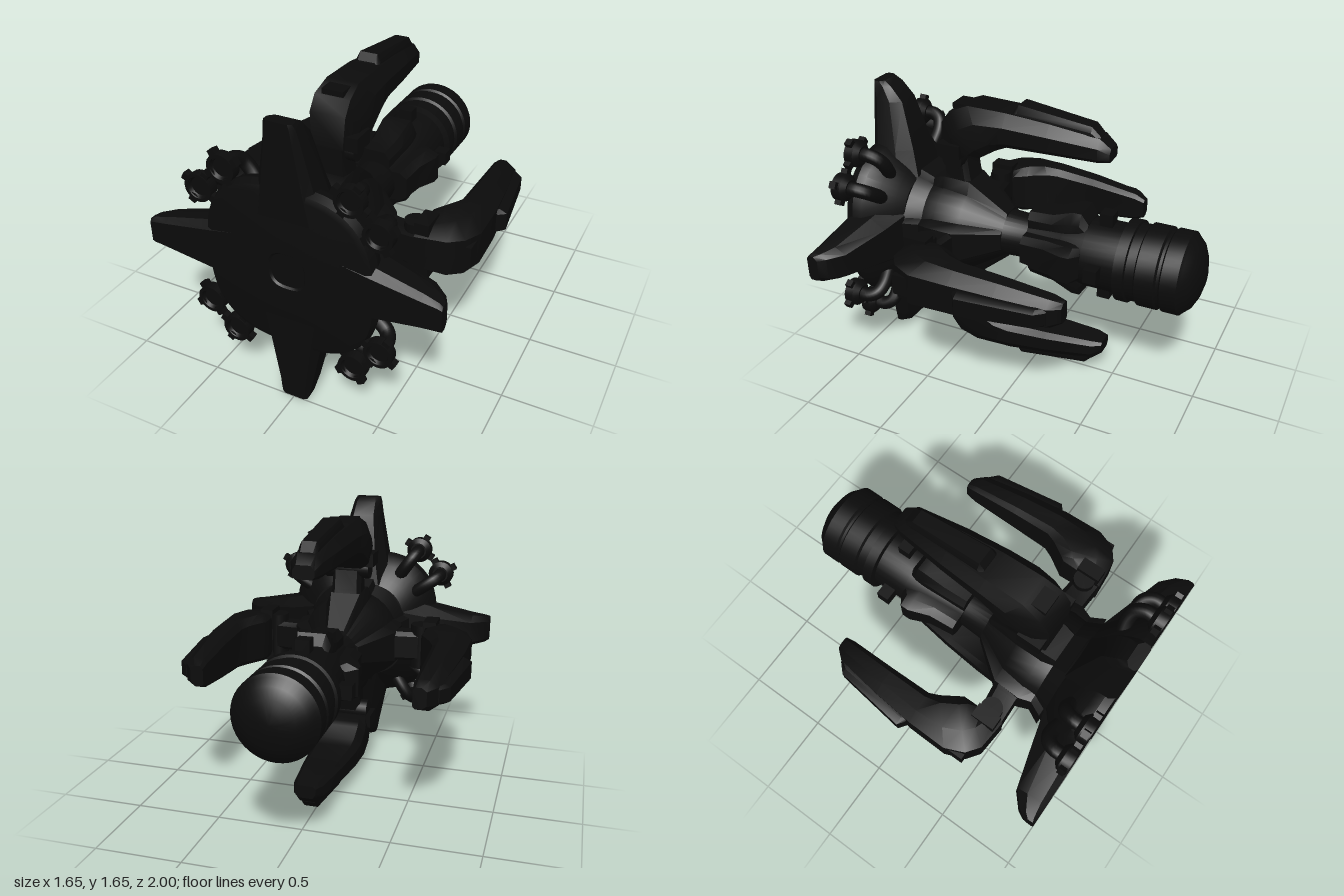
import * as THREE from 'three';
import { toCreasedNormals } from 'three/addons/utils/BufferGeometryUtils.js';

const hull = new THREE.MeshStandardMaterial({ color: 0x0b0b0b });
hull.name = 'black hull';

function add(parent, geo, name) {
  const m = new THREE.Mesh(geo, hull);
  m.name = name;
  parent.add(m);
  return m;
}

// Lathe around z; profile is [radius, z] with rising z
function turned(profile, seg = 40) {
  const g = new THREE.LatheGeometry(profile.map(p => new THREE.Vector2(p[0], p[1])), seg);
  g.rotateX(Math.PI / 2);
  return g;
}
const crease = (g, a = 0.5) => toCreasedNormals(g, a);

// Loft of bevelled sections: [innerY, innerZ, outerY, outerZ, halfWidth, outerHalfWidth]
function loft(sections, angle = 0.5) {
  const rings = sections.map(([iy, iz, oy, oz, w, wo]) => {
    const side = [[0, w * 0.75], [0.18, w], [0.65, w], [1, wo]];
    const pt = (t, x) => new THREE.Vector3(x, iy + (oy - iy) * t, iz + (oz - iz) * t);
    return [...side.map(([t, x]) => pt(t, x)), ...side.slice().reverse().map(([t, x]) => pt(t, -x))];
  });
  const tris = [], n = 8;
  for (let i = 0; i < rings.length - 1; i++)
    for (let j = 0; j < n; j++) {
      const a = rings[i][j], b = rings[i][(j + 1) % n], c = rings[i + 1][(j + 1) % n], d = rings[i + 1][j];
      tris.push([a, b, c], [a, c, d]);
    }
  const first = rings[0], last = rings[rings.length - 1];
  for (let j = 1; j < n - 1; j++) {
    tris.push([first[0], first[j + 1], first[j]], [last[0], last[j], last[j + 1]]);
  }
  // Turn the faces outward
  let volume = 0;
  for (const [a, b, c] of tris) volume += a.dot(b.clone().cross(c));
  if (volume < 0) tris.forEach(t => t.reverse());
  const g = new THREE.BufferGeometry().setFromPoints(tris.flat());
  return crease(g, angle);
}

function box(w, h, d, x, y, z) {
  return new THREE.BoxGeometry(w, h, d).translate(x, y, z);
}

// Everything that repeats on the four sides; points along +y
function makeQuarter() {
  const q = new THREE.Group();
  q.name = 'quarter';

  // Tapered spike of the front star
  add(q, loft([
    [0.995, 0.30, 0.705, 0.30, 0.19, 0.13],
    [0.998, 0.45, 0.745, 0.45, 0.155, 0.10],
    [1.0, 0.72, 0.82, 0.72, 0.10, 0.065],
    [1.0, 0.80, 0.89, 0.80, 0.085, 0.06],
    [1.0, 0.825, 0.935, 0.825, 0.075, 0.05],
  ].map(([z0, y0, z1, y1, w, wo]) => [y0, z0, y1, z1, w, wo])), 'starSpike');

  // Rib running down the collar to the neck
  add(q, loft([
    [0.1, 0.70, 0.34, 0.70, 0.13, 0.10],
    [0.1, 0.62, 0.30, 0.62, 0.12, 0.09],
    [0.1, 0.55, 0.325, 0.55, 0.13, 0.10],
    [0.1, 0.39, 0.315, 0.39, 0.12, 0.09],
    [0.05, 0.17, 0.14, 0.17, 0.07, 0.05],
  ]), 'collarRib');

  // Strut and hinge
  add(q, loft([
    [0.24, 0.37, 0.24, 0.55, 0.10, 0.10],
    [0.34, 0.395, 0.34, 0.545, 0.09, 0.08],
    [0.54, 0.42, 0.54, 0.555, 0.09, 0.08],
  ]), 'strut');
  add(q, box(0.33, 0.08, 0.14, 0, 0.52, 0.475), 'hingeBlock');
  add(q, crease(new THREE.CylinderGeometry(0.062, 0.062, 0.27, 20).rotateZ(Math.PI / 2).translate(0, 0.46, 0.47)), 'hingePin');

  // Bent nacelle sweeping to the rear
  add(q, loft([
    [0.485, 0.40, 0.485, 0.56, 0.12, 0.09],
    [0.49, 0.31, 0.66, 0.545, 0.15, 0.10],
    [0.51, 0.28, 0.735, 0.49, 0.153, 0.10],
    [0.56, 0.20, 0.78, 0.38, 0.15, 0.09],
    [0.585, 0.14, 0.775, 0.15, 0.14, 0.085],
    [0.585, -0.10, 0.75, -0.10, 0.12, 0.07],
    [0.58, -0.38, 0.71, -0.38, 0.085, 0.05],
    [0.585, -0.44, 0.66, -0.44, 0.06, 0.04],
  ], 0.6), 'nacelle');
  add(q, loft([
    [0.70, 0.13, 0.78, 0.12, 0.07, 0.05],
    [0.70, 0.09, 0.82, 0.09, 0.07, 0.05],
    [0.68, -0.33, 0.765, -0.33, 0.055, 0.04],
    [0.66, -0.38, 0.715, -0.38, 0.05, 0.035],
  ]), 'nacelleRidge');
  add(q, box(0.12, 0.03, 0.14, 0, 0.755, 0.42).rotateX(0), 'nacelleCap');

  // Flared fin and lug on the rear body
  add(q, loft([
    [0.08, 0.02, 0.20, 0.02, 0.09, 0.06],
    [0.08, -0.13, 0.215, -0.13, 0.10, 0.07],
    [0.08, -0.25, 0.262, -0.25, 0.11, 0.08],
    [0.08, -0.30, 0.262, -0.30, 0.11, 0.08],
    [0.08, -0.34, 0.20, -0.34, 0.10, 0.07],
  ]), 'bodyFin');
  add(q, box(0.08, 0.12, 0.075, 0, 0.21, -0.43), 'bodyLug');

  // Pair of thrusters beside each diagonal
  for (const s of [1, -1]) {
    const t = new THREE.Group();
    t.name = 'thruster';
    t.position.set(s * 0.347, 0.493, 0);
    add(t, crease(turned([[0, 0.91], [0.05, 0.91], [0.078, 0.935], [0.078, 0.99], [0.06, 0.99], [0.05, 0.97], [0, 0.97]], 24)), 'thrusterBell');
    for (let i = 0; i < 4; i++) {
      const g = box(0.04, 0.05, 0.04, 0, 0.078, 0.965);
      g.rotateZ(s * (-Math.PI / 6) + i * Math.PI / 2);
      add(t, g, 'thrusterClamp');
    }
    const d = new THREE.Vector2(-s * 0.347, -0.493).normalize();
    const path = new THREE.CatmullRomCurve3([[0, 0.93], [0, 0.87], [0.03, 0.825], [0.09, 0.81], [0.22, 0.83]]
      .map(([k, z]) => new THREE.Vector3(d.x * k, d.y * k, z)));
    add(t, new THREE.TubeGeometry(path, 20, 0.04, 12), 'thrusterPipe');
    q.add(t);
  }
  return q;
}

export function createModel() {
  const model = new THREE.Group();
  model.name = 'spaceStation';
  const axis = new THREE.Group();
  axis.name = 'hull';
  axis.position.y = 0.83;
  model.add(axis);

  // Domed front hub, slightly squared toward the diagonals
  const hub = turned([[0, 0.70], [0.32, 0.71], [0.37, 0.75], [0.44, 0.82], [0.495, 0.89], [0.505, 0.94],
    [0.49, 0.985], [0.46, 0.995], [0.11, 0.995], [0.1, 0.985], [0, 0.985]], 64);
  const p = hub.attributes.position;
  for (let i = 0; i < p.count; i++) {
    const x = p.getX(i), y = p.getY(i);
    const k = 1 - 0.05 * Math.cos(4 * Math.atan2(y, x));
    p.setXY(i, x * k, y * k);
  }
  add(axis, crease(hub), 'frontHub');

  // Collar, cone and neck
  add(axis, crease(turned([[0.125, -0.02], [0.135, 0.17], [0.27, 0.39], [0.29, 0.54], [0.28, 0.62], [0.33, 0.72]], 32)), 'collar');

  // Rear body with rings and domed end
  add(axis, crease(turned([[0, -0.60], [0.20, -0.60], [0.20, -0.34], [0.17, -0.2], [0.14, 0.02], [0, 0.02]], 32)), 'rearBody');
  add(axis, crease(turned([[0, -1], [0.06, -0.995], [0.13, -0.977], [0.185, -0.95], [0.218, -0.915], [0.235, -0.90],
    [0.235, -0.81], [0.222, -0.80], [0.222, -0.785], [0.235, -0.775], [0.235, -0.67], [0.22, -0.66],
    [0.22, -0.61], [0.235, -0.605], [0.235, -0.545], [0.2, -0.54]], 40)), 'ringedEngine');

  for (let i = 0; i < 4; i++) {
    const q = makeQuarter();
    q.rotation.z = i * Math.PI / 2;
    axis.add(q);
  }
  return model;
}
